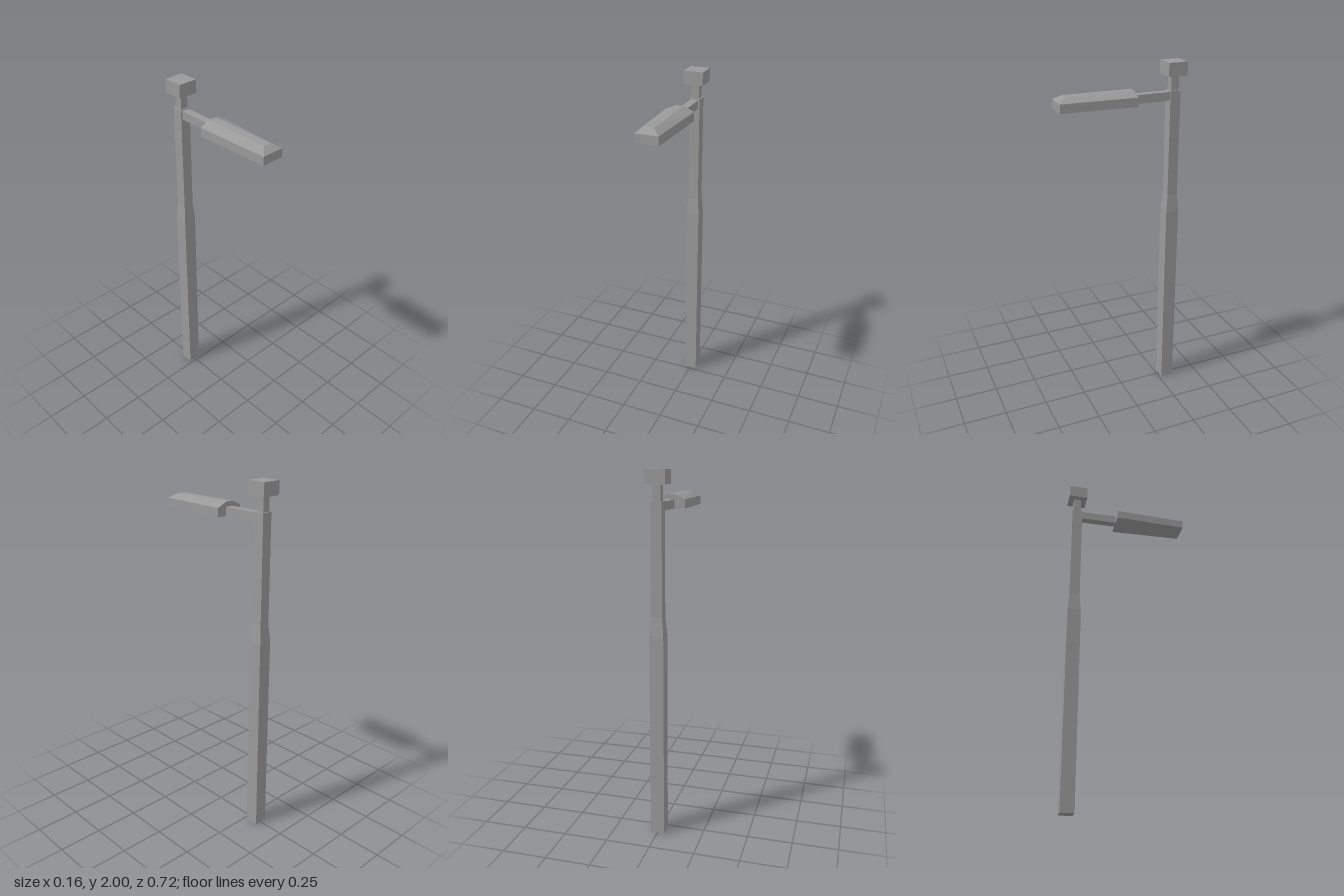
import * as THREE from 'three';

const POST_Z = -0.305;

export function createModel() {
  const group = new THREE.Group();
  group.name = 'streetLamp';
  const material = new THREE.MeshStandardMaterial({ color: 0x999999, flatShading: true });

  const add = (name, geometry, x = 0, y = 0, z = 0) => {
    const mesh = new THREE.Mesh(geometry, material);
    mesh.name = name;
    mesh.position.set(x, y, z);
    group.add(mesh);
  };
  // Box given by its bottom and top heights
  const box = (name, w, d, y0, y1, z) =>
    add(name, new THREE.BoxGeometry(w, y1 - y0, d), 0, (y0 + y1) / 2, z);

  // Square post that narrows above the middle: [half width, height]
  const profile = [[0, 0], [0.0385, 0], [0.0385, 1.15], [0.03, 1.25], [0.03, 1.845], [0, 1.845]]
    .map(([half, y]) => new THREE.Vector2(half * Math.SQRT2, y));
  add('post', new THREE.LatheGeometry(profile, 4, Math.PI / 4), 0, 0, POST_Z);

  // Sensor on top of the post
  box('sensorNeck', 0.044, 0.044, 1.845, 1.927, POST_Z);
  box('sensorCap', 0.11, 0.11, 1.927, 2, POST_Z);

  // Arm reaching forward to the lamp head
  box('arm', 0.044, 0.23, 1.793, 1.84, -0.17);

  add('lampHead', lampHeadGeometry());
  return group;
}

// Tapered head lofted from three four-cornered rings: base, rim and ridge
function lampHeadGeometry() {
  const back = -0.063;
  const rings = [
    { y: 1.793, wBack: 0.08, wFront: 0.064, front: 0.36 },
    { y: 1.841, wBack: 0.08, wFront: 0.064, front: 0.36 },
    { y: 1.867, wBack: 0.022, wFront: 0.022, front: 0.32 },
  ];
  const positions = rings.flatMap(({ y, wBack, wFront, front }) => [
    -wBack, y, back, -wFront, y, front, wFront, y, front, wBack, y, back,
  ]);
  const index = [0, 2, 1, 0, 3, 2, 8, 9, 10, 8, 10, 11]; // underside and top
  for (let r = 0; r < 2; r++) {
    for (let i = 0; i < 4; i++) {
      const a = r * 4 + i, b = r * 4 + (i + 1) % 4, c = b + 4, d = a + 4;
      // Mirror the split so both sloping sides fold alike
      if (i === 0) index.push(a, b, c, a, c, d);
      else index.push(a, b, d, b, c, d);
    }
  }
  const geometry = new THREE.BufferGeometry();
  geometry.setAttribute('position', new THREE.Float32BufferAttribute(positions, 3));
  geometry.setIndex(index);
  const flat = geometry.toNonIndexed();
  flat.computeVertexNormals();
  return flat;
}
